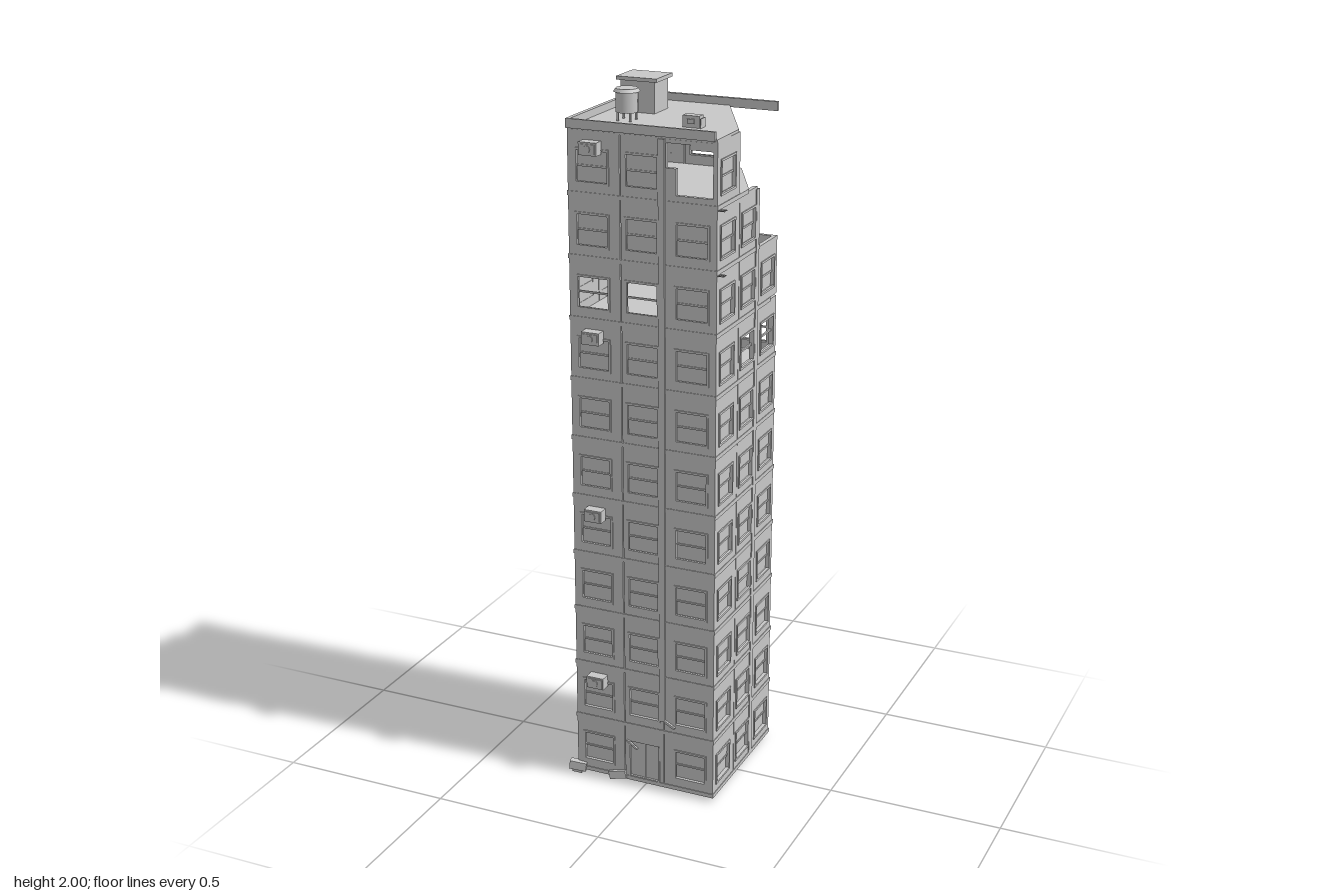
import * as THREE from 'three';

const concrete = new THREE.MeshStandardMaterial({ color: 0xc8c8c8 });
concrete.name = 'pale concrete';

const BASE = 0.02, STOREY = 0.171, FLOORS = 11;
const HALF = 0.213, CX = 0.002, CZ = -0.015, WALL = 0.012;
const WIN_W = 0.092, WIN_H = 0.087, WIN_Y = 0.03;

function add(parent, name, geometry, x = 0, y = 0, z = 0) {
  const mesh = new THREE.Mesh(geometry, concrete);
  mesh.name = name;
  mesh.position.set(x, y, z);
  parent.add(mesh);
  return mesh;
}
const box = (parent, name, w, h, d, x, y, z) => add(parent, name, new THREE.BoxGeometry(w, h, d), x, y, z);

function polygon(points) {
  return new THREE.Shape(points.map(([x, y]) => new THREE.Vector2(x, y)));
}
function rect(x0, y0, x1, y1) {
  return polygon([[x0, y0], [x1, y0], [x1, y1], [x0, y1]]);
}
const extrude = (shape, depth) => new THREE.ExtrudeGeometry(shape, { depth, bevelEnabled: false });

// Three wall bays: left edge, right edge, window centre
const BAYS = [[-HALF, -0.063, -0.143], [-0.06, 0.06, 0], [0.063, HALF, 0.143]];

function wallPanel([x0, x1, c], doorway) {
  const shape = rect(x0, 0.003, x1, STOREY - 0.003);
  shape.holes.push(rect(c - WIN_W / 2, doorway ? 0.006 : WIN_Y, c + WIN_W / 2, WIN_Y + WIN_H));
  return extrude(shape, WALL);
}
const panels = BAYS.map((bay) => wallPanel(bay, false));

// Raised surround and sashes
const surround = rect(-WIN_W / 2 - 0.004, WIN_Y - 0.004, WIN_W / 2 + 0.004, WIN_Y + WIN_H + 0.004);
surround.holes.push(rect(-WIN_W / 2 + 0.002, WIN_Y + 0.002, WIN_W / 2 - 0.002, WIN_Y + WIN_H - 0.002));
const surroundGeo = extrude(surround, 0.007);
const barGeo = new THREE.BoxGeometry(WIN_W, 0.005, 0.005);
const upperSash = new THREE.BoxGeometry(WIN_W, WIN_H / 2, 0.004);
const lowerSash = new THREE.BoxGeometry(WIN_W, WIN_H / 2, 0.002);

// Walls: local +z is outward; 'missing' and 'open' hold "storey,bay" keys
const FACES = [
  { name: 'frontWall', turn: 0, missing: ['10,2'], open: ['8,0', '8,1'] },
  { name: 'leftWall', turn: Math.PI / 2, missing: ['10,1', '10,2', '9,2'], open: ['7,1', '7,2'] },
  { name: 'backWall', turn: Math.PI, missing: ['10,0', '9,0'], open: ['10,1', '7,0'] },
  { name: 'rightWall', turn: -Math.PI / 2, missing: [], open: ['9,0'] },
];

function buildWall({ name, turn, missing, open }) {
  const wall = new THREE.Group();
  wall.name = name;
  wall.position.set(CX, 0, CZ);
  wall.rotation.y = turn;
  for (let i = 0; i < FLOORS; i++) {
    const y = BASE + i * STOREY;
    BAYS.forEach((bay, b) => {
      const key = `${i},${b}`, c = bay[2];
      if (missing.includes(key)) return;
      if (name === 'frontWall' && key === '0,1') {
        // Entrance
        add(wall, 'doorPanel', wallPanel(bay, true), 0, y, HALF - WALL);
        box(wall, 'door', WIN_W, 0.112, 0.004, 0, y + 0.06, HALF - 0.008);
        for (const s of [-1, 1]) box(wall, 'doorPost', 0.004, 0.115, 0.006, s * 0.046, y + 0.06, HALF);
        box(wall, 'doorMeetingRail', 0.003, 0.11, 0.004, 0, y + 0.06, HALF - 0.005);
        return;
      }
      add(wall, 'wallPanel', panels[b], 0, y, HALF - WALL);
      add(wall, 'windowSurround', surroundGeo, c, y, HALF - 0.004);
      const mid = y + WIN_Y + WIN_H / 2;
      add(wall, 'windowBar', barGeo, c, mid, HALF - 0.006);
      if (open.includes(key)) return;
      add(wall, 'upperSash', upperSash, c, mid + WIN_H / 4, HALF - 0.008);
      add(wall, 'lowerSash', lowerSash, c, mid - WIN_H / 4, HALF - 0.01);
    });
  }
  return wall;
}

// Floor slab, with its back left corner broken off along a line when cut = [x, z]
function slab(parent, name, y, half, cut) {
  const x0 = CX - half, x1 = CX + half, z0 = CZ - half, z1 = CZ + half;
  const corner = cut ? [[x1, -cut[1]], [cut[0], -z0]] : [[x1, -z0]];
  const geo = extrude(polygon([[x0, -z1], [x1, -z1], ...corner, [x0, -z0]]), 0.012);
  geo.rotateX(-Math.PI / 2);
  add(parent, name, geo, 0, y, 0);
}

export function createModel() {
  const tower = new THREE.Group();
  tower.name = 'ruinedTower';
  FACES.forEach((face) => tower.add(buildWall(face)));

  // Floors and broken roof
  const cuts = { 8: [0.185, -0.18], 9: [0.145, -0.095], 10: [0.105, -0.01], 11: [0.07, 0.057] };
  for (let i = 0; i <= FLOORS; i++) {
    const roof = i === FLOORS;
    slab(tower, roof ? 'roof' : 'floorSlab', BASE + i * STOREY - 0.008, roof ? 0.212 : HALF + 0.002, cuts[i]);
  }

  // Parapets, the back one left hanging past the break
  box(tower, 'backParapet', 0.422, 0.025, 0.012, -0.001, 1.913, -0.23);
  box(tower, 'frontParapet', 0.422, 0.025, 0.008, -0.001, 1.913, 0.2);
  box(tower, 'sideParapet', 0.012, 0.025, 0.438, -0.207, 1.913, -0.015);

  // Remains of the broken top front panel
  const stub = polygon([[0.065, 1.73], [0.215, 1.73], [0.215, 1.75], [0.1, 1.75], [0.1, 1.82], [0.072, 1.82],
    [0.072, 1.885], [0.14, 1.885], [0.14, 1.872], [0.205, 1.872], [0.205, 1.75], [0.215, 1.75], [0.215, 1.9], [0.065, 1.9]]);
  // Split into simple pieces so that no edge doubles back
  stub.curves.length = 0;
  [[0.065, 1.732, 0.215, 1.75], [0.065, 1.75, 0.1, 1.82], [0.065, 1.82, 0.072, 1.885],
    [0.065, 1.885, 0.215, 1.895], [0.14, 1.872, 0.215, 1.885], [0.205, 1.75, 0.215, 1.872]].forEach(([a, b, c, d]) =>
    add(tower, 'brokenPanel', extrude(rect(a, b, c, d), WALL), 0, 0, 0.186));

  // Square drainpipes on two walls
  box(tower, 'frontDrainpipe', 0.018, 1.67, 0.008, 0.06, 1.06, 0.2);
  const bend = box(tower, 'bentPipeEnd', 0.035, 0.007, 0.008, 0.083, 0.218, 0.201);
  bend.rotation.z = -0.5;
  box(tower, 'sideDrainpipe', 0.008, 1.7, 0.02, 0.214, 0.87, -0.076);

  // Wall cooling units on every third storey
  for (const i of [1, 4, 7, 10]) {
    const y = BASE + i * STOREY + 0.126;
    box(tower, 'coolingUnit', 0.052, 0.035, 0.03, -0.138, y, 0.214);
    box(tower, 'coolingUnitFace', 0.044, 0.026, 0.003, -0.138, y, 0.23);
    const fan = add(tower, 'coolingFan', new THREE.CylinderGeometry(0.01, 0.01, 0.004, 8), -0.138, y, 0.232);
    fan.rotation.x = Math.PI / 2;
  }

  // Roof hut
  box(tower, 'roofHut', 0.1, 0.09, 0.088, -0.116, 1.945, -0.0765);
  box(tower, 'roofHutCap', 0.118, 0.01, 0.103, -0.116, 1.995, -0.0765);

  // Water tank on legs
  add(tower, 'waterTank', new THREE.CylinderGeometry(0.03, 0.03, 0.055, 12), -0.099, 1.955, 0.069);
  add(tower, 'waterTankLid', new THREE.CylinderGeometry(0.03, 0.036, 0.009, 12), -0.099, 1.986, 0.069);
  for (const sx of [-1, 1]) for (const sz of [-1, 1]) {
    box(tower, 'tankLeg', 0.005, 0.028, 0.005, -0.099 + sx * 0.018, 1.917, 0.069 + sz * 0.018);
  }

  // Small roof unit and its side plate
  box(tower, 'roofUnit', 0.047, 0.033, 0.026, 0.0935, 1.92, 0.077);
  box(tower, 'roofUnitVent', 0.02, 0.012, 0.004, 0.0935, 1.922, 0.092);
  box(tower, 'roofUnitPlate', 0.002, 0.026, 0.03, 0.121, 1.917, 0.077);

  // Bare reinforcing bars
  for (const y of [1.55, 1.722]) for (const z of [0.182, 0.19, 0.197]) {
    box(tower, 'reinforcingBar', 0.035, 0.0025, 0.0025, 0.218, y, z);
  }

  // Fallen slabs by the front wall
  [[-0.208, 0.024, 0.203, 0.05, 0.026, 0.02, 0.2, -0.1], [-0.08, 0.024, 0.206, 0.05, 0.024, 0.01, 0.15, 0.2]]
    .forEach(([x, y, z, w, h, d, ry, rz]) => {
      box(tower, 'rubble', w, h, d, x, y, z).rotation.set(0, ry, rz);
    });
  const bracket = box(tower, 'bentDoorBracket', 0.04, 0.006, 0.006, -0.036, 0.128, 0.2);
  bracket.rotation.z = -0.6;
  box(tower, 'groundSlab', 0.41, 0.012, 0.41, CX, 0.012, CZ);
  box(tower, 'rubbleChip', 0.03, 0.016, 0.012, -0.212, 0.008, 0.2);
  return tower;
}
